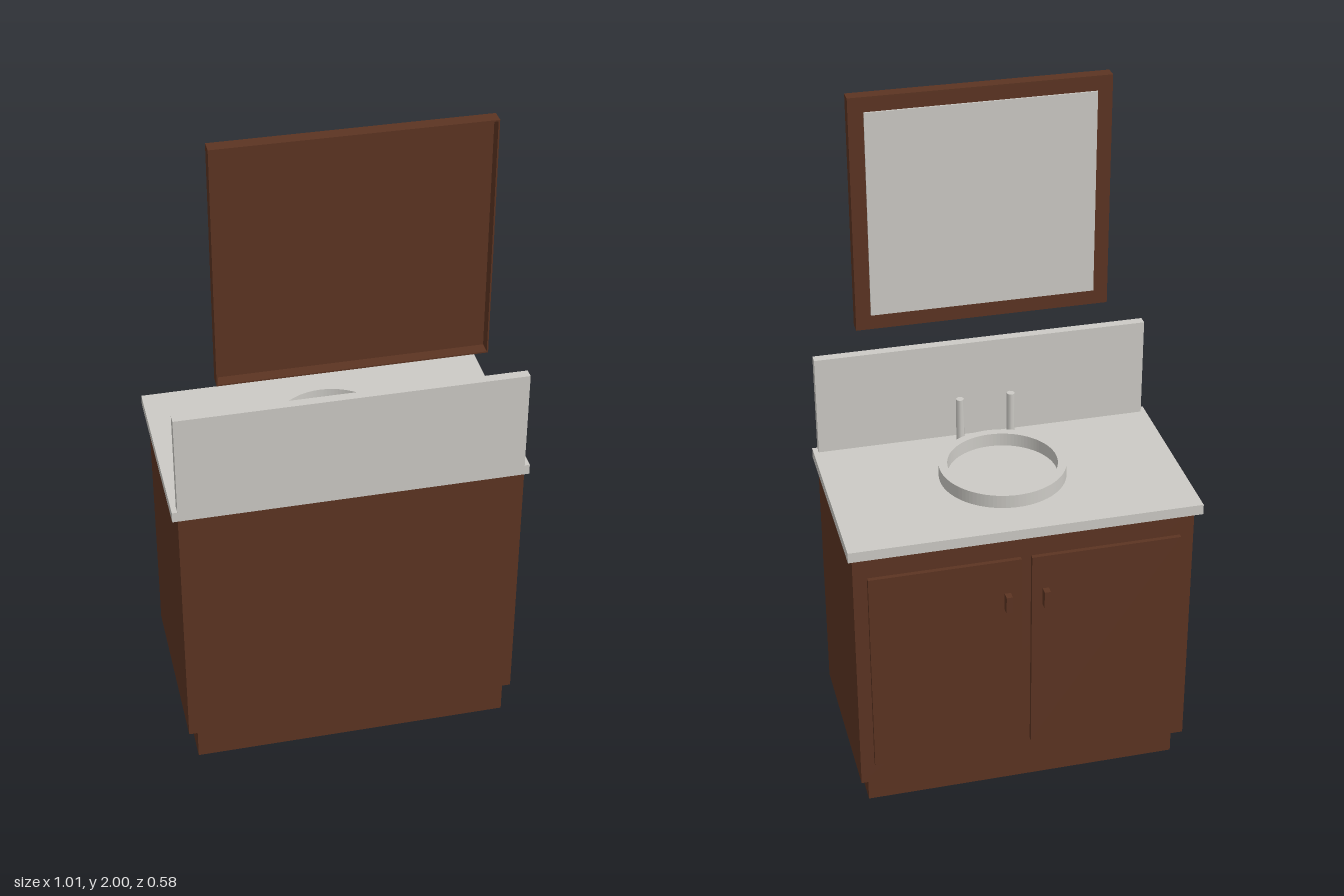
import * as THREE from 'three';

const wood = new THREE.MeshStandardMaterial({ name: 'brown wood', color: 0x5c3422, side: THREE.DoubleSide });
const stone = new THREE.MeshStandardMaterial({ name: 'pale stone', color: 0xcccac5 });

export function createModel() {
  const model = new THREE.Group();
  model.name = 'vanity';

  const add = (name, geometry, material) => {
    const mesh = new THREE.Mesh(geometry, material);
    mesh.name = name;
    model.add(mesh);
    return mesh;
  };

  // Box given by its extents on each axis
  const box = (name, material, x0, x1, y0, y1, z0, z1) => {
    const mesh = add(name, new THREE.BoxGeometry(x1 - x0, y1 - y0, z1 - z0), material);
    mesh.position.set((x0 + x1) / 2, (y0 + y1) / 2, (z0 + z1) / 2);
    return mesh;
  };

  // Thin-walled rectangular tube, extruded along +z
  const rectTube = (w, h, depth, wall) => {
    const rect = (S, a, b) => new S([[-a, -b], [a, -b], [a, b], [-a, b]].map(p => new THREE.Vector2(...p)));
    const shape = rect(THREE.Shape, w / 2, h / 2);
    shape.holes.push(rect(THREE.Path, w / 2 - wall, h / 2 - wall));
    return new THREE.ExtrudeGeometry(shape, { depth, bevelEnabled: false });
  };

  // Cabinet on a plinth that is open underneath
  const plinth = add('plinth', rectTube(0.93, 0.508, 0.09, 0.004).rotateX(-Math.PI / 2), wood);
  plinth.position.z = 0.034;
  box('cabinet', wood, -0.49, 0.49, 0.09, 0.884, -0.252, 0.288);

  // Doors and handles, mirrored
  for (const s of [-1, 1]) {
    const door = box('door', wood, -0.2175, 0.2175, 0.16, 0.805, -0.265, -0.252);
    door.position.x = s * 0.2325;
    const handle = box('handle', wood, -0.009, 0.009, 0.643, 0.697, -0.288, -0.265);
    handle.position.x = s * 0.055;
  }

  // Countertop and backsplash
  box('countertop', stone, -0.505, 0.505, 0.884, 0.915, -0.283, 0.288);
  box('backsplash', stone, -0.49, 0.49, 0.915, 1.217, 0.26, 0.288);

  // Basin ring standing on the countertop
  const ring = new THREE.Shape().absarc(0, 0, 0.183, 0, Math.PI * 2);
  ring.holes.push(new THREE.Path().absarc(0, 0, 0.158, 0, Math.PI * 2));
  const basin = add('basin', new THREE.ExtrudeGeometry(ring, { depth: 0.04, bevelEnabled: false, curveSegments: 48 })
    .rotateX(-Math.PI / 2), stone);
  basin.position.set(0, 0.915, 0.015);

  // Tap posts
  for (const s of [-1, 1]) {
    const tap = add('tap', new THREE.CylinderGeometry(0.012, 0.012, 0.143, 8), stone);
    tap.position.set(s * 0.076, 0.9865, 0.221);
  }

  // Mirror: shallow wooden tray, open at the back, with glass on its face
  const frame = add('mirrorFrame', rectTube(0.736, 0.693, 0.038, 0.004), wood);
  frame.position.set(0, 1.6535, 0.243);
  box('mirrorPanel', wood, -0.366, 0.366, 1.309, 1.998, 0.243, 0.246);
  box('mirrorGlass', stone, -0.325, 0.325, 1.352, 1.957, 0.238, 0.243);

  return model;
}
